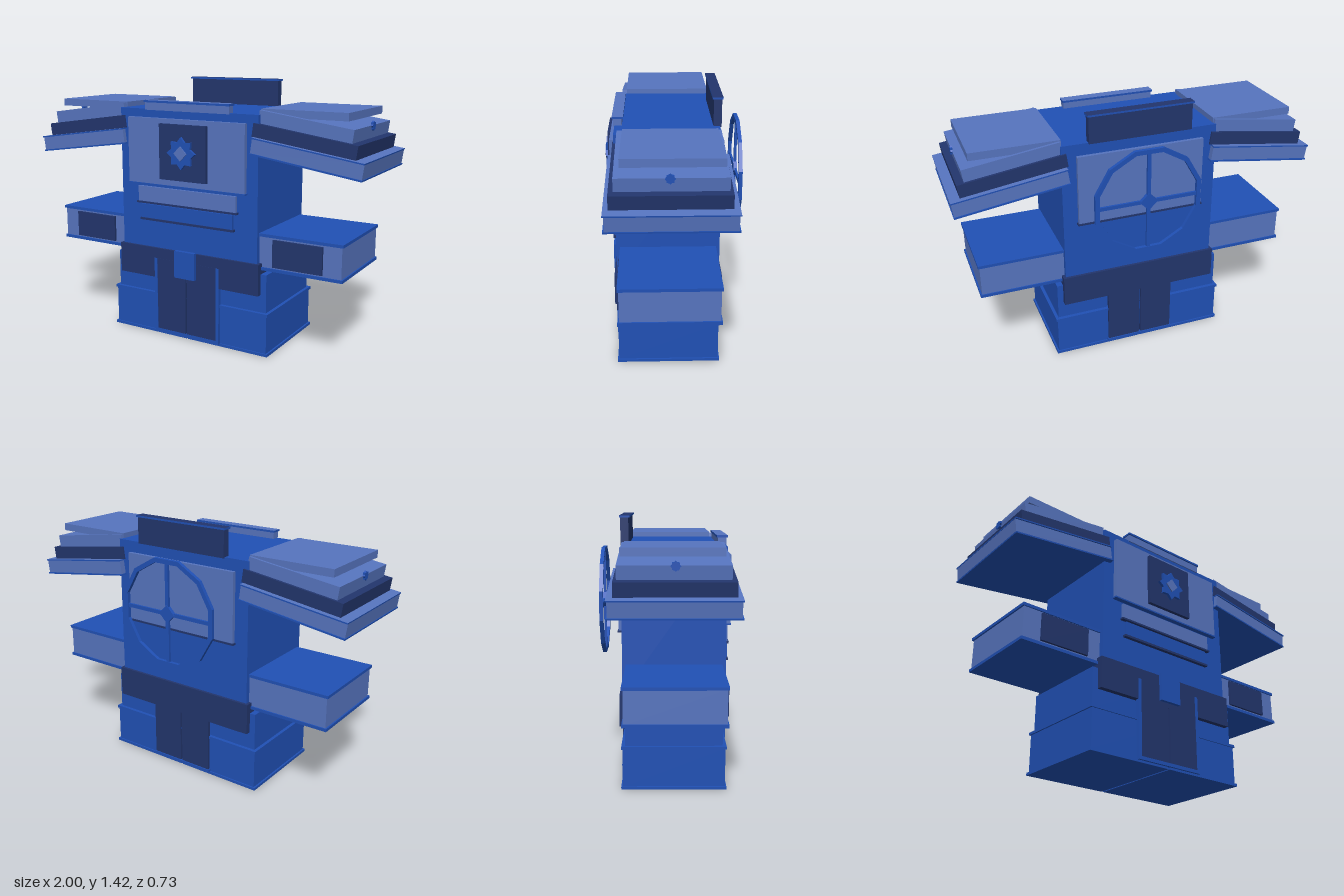
import * as THREE from 'three';

const flat = (name, color) => {
  const m = new THREE.MeshStandardMaterial({ color });
  m.name = name;
  return m;
};

export function createModel() {
  const mid = flat('royalBlue', 0x2050b4);
  const light = flat('paleBlue', 0x5674be);
  const dark = flat('navyBlue', 0x22356c);
  const model = new THREE.Group();
  model.name = 'blockRobot';

  const add = (name, geometry, material, parent = model) => {
    const mesh = new THREE.Mesh(geometry, material);
    mesh.name = name;
    parent.add(mesh);
    return mesh;
  };
  // Box given by its limits on each axis
  const box = (name, mat, [x0, x1], [y0, y1], [z0, z1], parent) => {
    const mesh = add(name, new THREE.BoxGeometry(Math.abs(x1 - x0), y1 - y0, z1 - z0), mat, parent);
    mesh.position.set((x0 + x1) / 2, (y0 + y1) / 2, (z0 + z1) / 2);
    return mesh;
  };
  const wide = (w) => [-w, w];
  // Box sides in one colour with a different top face
  const topped = (side, top) => [side, side, top, side, side, side];
  // Closed outline with alternating radii
  const ringPoints = (n, radii, offset = 0) => Array.from({ length: n }, (_, i) => {
    const a = (i / n) * Math.PI * 2 + offset, r = radii[i % radii.length];
    return new THREE.Vector2(Math.cos(a) * r, Math.sin(a) * r);
  });
  const extrude = (shape, depth) => new THREE.ExtrudeGeometry(shape, { depth, bevelEnabled: false });

  // Torso and hips
  box('torso', mid, wide(0.43), [0.5, 1.27], [-0.24, 0.3]);
  box('hips', dark, wide(0.445), [0.33, 0.5], [-0.255, 0.314]);
  box('beltBuckle', mid, wide(0.065), [0.355, 0.507], [0.31, 0.334]);

  // Chest plates
  box('chestPlate', light, wide(0.365), [0.866, 1.225], [0.295, 0.324]);
  box('chestPlateTrim', mid, wide(0.37), [0.858, 0.866], [0.295, 0.328]);
  box('chestPanel', dark, wide(0.146), [0.9, 1.2], [0.32, 0.344]);
  box('upperBellyPlate', light, wide(0.31), [0.76, 0.845], [0.295, 0.315]);
  box('upperBellyTrim', dark, wide(0.318), [0.75, 0.76], [0.295, 0.322]);
  box('lowerBellyPlate', mid, wide(0.29), [0.667, 0.745], [0.295, 0.315]);
  box('lowerBellyTrim', dark, wide(0.298), [0.655, 0.667], [0.295, 0.32]);

  // Chest star with a diamond centre
  add('chestStar', extrude(new THREE.Shape(ringPoints(16, [0.087, 0.063])), 0.016), mid)
    .position.set(0, 1.05, 0.343);
  add('chestDiamond', extrude(new THREE.Shape(ringPoints(4, [0.04])), 0.008), light)
    .position.set(0, 1.05, 0.357);

  // Shoulder line crest and tall back fin
  box('frontCrest', light, wide(0.262), [1.265, 1.306], [0.262, 0.306]);
  box('frontCrestCap', topped(mid, light), wide(0.267), [1.306, 1.317], [0.255, 0.313]);
  box('backFin', dark, wide(0.283), [1.265, 1.41], [-0.249, -0.207]);
  box('backFinCap', topped(mid, dark), wide(0.29), [1.41, 1.42], [-0.255, -0.2]);

  // Back plate
  box('backPlate', light, wide(0.35), [0.826, 1.207], [-0.26, -0.235]);
  box('backPlateTrim', dark, wide(0.356), [0.816, 0.826], [-0.265, -0.235]);

  // Twelve-sided wheel behind the back
  const wheel = new THREE.Group();
  wheel.name = 'backWheel';
  wheel.position.set(0, 0.945, -0.365);
  model.add(wheel);
  const rim = new THREE.Shape(ringPoints(12, [0.305], Math.PI / 12));
  rim.holes.push(new THREE.Path(ringPoints(12, [0.28], Math.PI / 12)));
  add('wheelRim', extrude(rim, 0.02), mid, wheel);
  box('wheelSpokeVertical', mid, wide(0.01), wide(0.275), [0.003, 0.017], wheel);
  box('wheelSpokeHorizontal', mid, wide(0.275), wide(0.01), [0.004, 0.016], wheel);
  add('wheelHub', extrude(new THREE.Shape(ringPoints(4, [0.05])), 0.02), mid, wheel);

  for (const s of [1, -1]) {
    const side = s > 0 ? 'left' : 'right';
    const span = (a, b) => [a * s, b * s];

    // Tilted shoulder stack: each layer has centre, length, thickness and depth
    const tilt = THREE.MathUtils.degToRad(8);
    const layer = (name, mat, cx, cy, length, thick, z0, z1) => {
      const mesh = add(side + name, new THREE.BoxGeometry(length, thick, z1 - z0), mat);
      mesh.position.set(cx * s, cy, (z0 + z1) / 2);
      mesh.rotation.z = -tilt * s;
    };
    layer('ShoulderBase', light, 0.695, 1.074, 0.596, 0.08, -0.273, 0.323);
    layer('ShoulderBaseLowerRim', mid, 0.689, 1.034, 0.604, 0.008, -0.28, 0.33);
    layer('ShoulderBaseUpperRim', topped(mid, light), 0.7, 1.114, 0.6, 0.007, -0.28, 0.33);
    layer('ShoulderMiddle', dark, 0.674, 1.156, 0.558, 0.07, -0.25, 0.305);
    layer('ShoulderUpper', light, 0.671, 1.225, 0.504, 0.066, -0.235, 0.282);
    box(side + 'ShoulderTop', light, span(0.42, 0.885), [1.258, 1.298], [-0.22, 0.255]);

    // Shoulder knob
    const knob = add(side + 'ShoulderKnob',
      extrude(new THREE.Shape(ringPoints(16, [0.024, 0.019])), 0.012), mid);
    knob.rotation.y = Math.PI / 2;
    knob.position.set(s > 0 ? 0.921 : -0.933, 1.22, 0.03);

    // Forearm with end caps and a front panel
    box(side + 'Forearm', light, span(0.42, 0.884), [0.475, 0.65], [-0.214, 0.274]);
    box(side + 'ForearmTopCap', mid, span(0.43, 0.892), [0.645, 0.661], [-0.221, 0.281]);
    box(side + 'ForearmBottomCap', mid, span(0.43, 0.892), [0.465, 0.481], [-0.221, 0.281]);
    box(side + 'ForearmPanel', dark, span(0.51, 0.785), [0.49, 0.636], [0.27, 0.287]);

    // Leg: thigh block, boot block and rims
    box(side + 'Thigh', mid, span(0.005, 0.478), [0.225, 0.442], [-0.226, 0.285]);
    box(side + 'Boot', mid, span(0.005, 0.488), [0.01, 0.225], [-0.24, 0.299]);
    box(side + 'BootTopRim', mid, span(0.005, 0.496), [0.22, 0.235], [-0.246, 0.305]);
    box(side + 'BootSole', mid, span(0.005, 0.498), [0, 0.015], [-0.248, 0.306]);

    // Front and back shin doors with their trim
    box(side + 'FrontDoor', dark, span(0.005, 0.19), [0.03, 0.442], [0.295, 0.3155]);
    box(side + 'FrontDoorEdge', mid, span(0.19, 0.208), [0.012, 0.442], [0.295, 0.318]);
    box(side + 'FrontDoorSill', mid, span(0, 0.208), [0.012, 0.03], [0.295, 0.317]);
    box(side + 'BackDoor', dark, span(0.005, 0.19), [0.028, 0.34], [-0.253, -0.235]);
    box(side + 'BackDoorSill', mid, span(0, 0.196), [0.013, 0.028], [-0.259, -0.235]);
  }
  return model;
}
